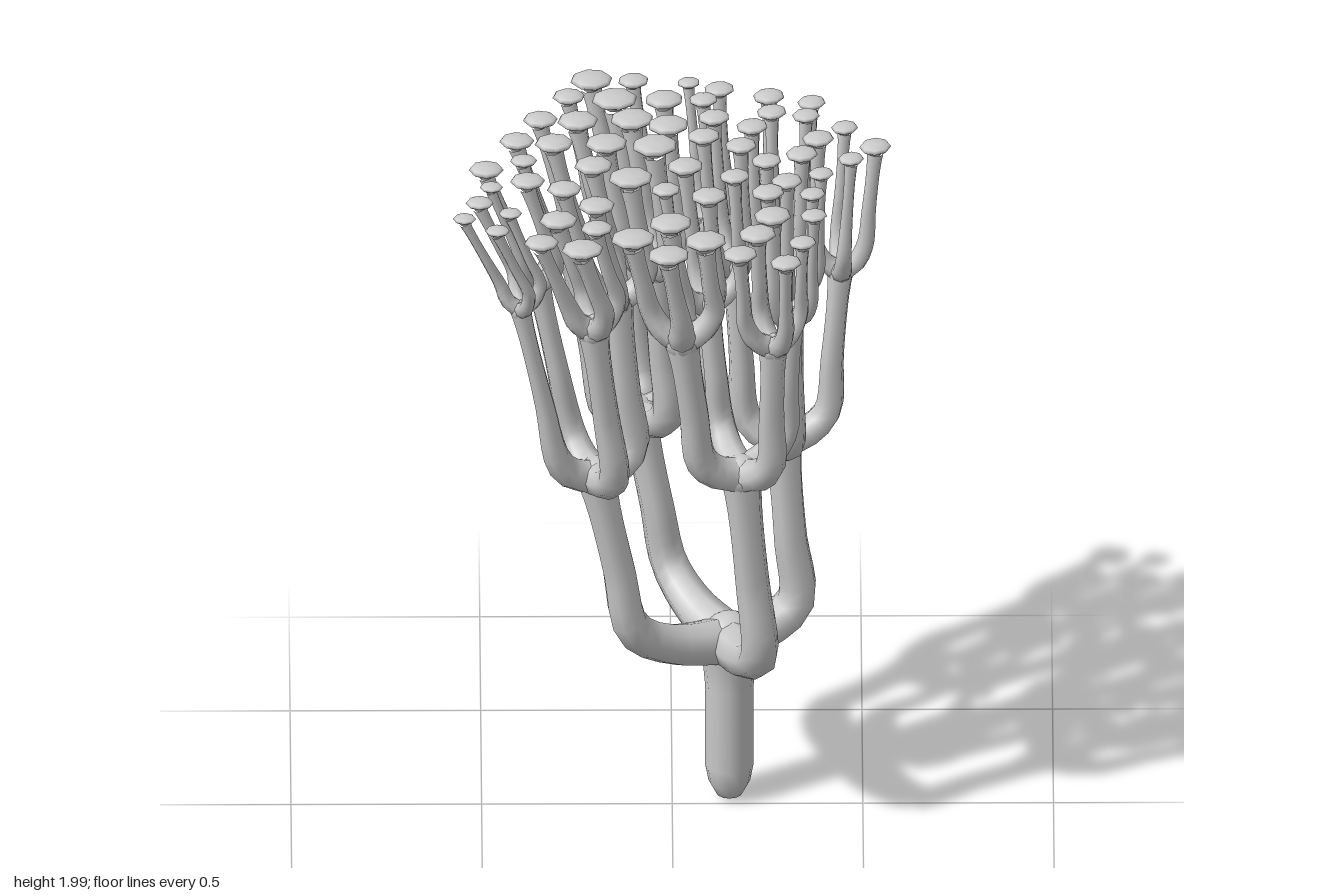
import * as THREE from 'three';

const material = new THREE.MeshStandardMaterial({ color: 0xcccccc });
const vec = (x, y, z) => new THREE.Vector3(x, y, z);

function add(parent, geometry, name) {
  const mesh = new THREE.Mesh(geometry, material);
  mesh.name = name;
  parent.add(mesh);
  return mesh;
}

// Smooth tube that narrows from r0 to r1 and swells a little into the next fork
function taperedTube(points, r0, r1, steps) {
  const curve = new THREE.CatmullRomCurve3(points, false, 'centripetal');
  const sides = 8;
  const geometry = new THREE.TubeGeometry(curve, steps, 1, sides, false);
  const pos = geometry.attributes.position;
  const v = new THREE.Vector3();
  for (let i = 0; i <= steps; i++) {
    const t = i / steps;
    const centre = curve.getPointAt(t);
    const r = r1 * (1 + 0.3 * Math.pow(t, 10)) + (r0 - r1) * Math.pow(1 - t, 2.5);
    for (let j = 0; j <= sides; j++) {
      const k = i * (sides + 1) + j;
      v.fromBufferAttribute(pos, k).sub(centre).multiplyScalar(r).add(centre);
      pos.setXYZ(k, v.x, v.y, v.z);
    }
  }
  return geometry;
}

// Branch that leaves a fork sideways, bends at an elbow, then rises,
// drifting sideways by lean on the way to its end
function branch(parent, from, to, lean, minRise, r0, r1, name) {
  const elbow = from.clone().lerp(to.clone().sub(lean), 0.87);
  const rise = minRise + 0.3 * Math.hypot(elbow.x - from.x, elbow.z - from.z);
  elbow.y = from.y + rise;
  const knee = from.clone().lerp(elbow, 0.6).setY(from.y + rise * 0.32);
  const upper = elbow.clone().lerp(to, 0.4);
  add(parent, taperedTube([from, knee, elbow, upper, to], r0, r1, 16), name);
}

function fork(parent, at, r, name) {
  const mesh = add(parent, new THREE.SphereGeometry(r, 12, 8), name);
  mesh.position.copy(at);
}

// Flat domed cap flaring out of its stalk, unit radius
const capProfile = [[0.36, -0.95], [0.45, -0.7], [0.85, -0.5], [1, -0.34], [0.88, -0.17], [0.5, -0.04], [0, 0]];
const capGeometry = new THREE.LatheGeometry(capProfile.map(([x, y]) => new THREE.Vector2(x, y)), 8);

const base = vec(0.15, 0.47, -0.04);

// Limb: main branch to a fork, then four boughs, each with four capped stalks.
// Every cluster lists x, z, radius of its four caps.
function limb(parent, node, name, clusters) {
  const group = new THREE.Group();
  group.name = name;
  branch(group, base, node, vec(-0.06, 0, 0), 0.03, 0.068, 0.043, 'mainBranch');
  fork(group, node, 0.056, 'mainFork');

  clusters.forEach((c) => {
    const mean = (k) => (c[k] + c[k + 3] + c[k + 6] + c[k + 9]) / 4;
    const cx = mean(0), cz = mean(1), r = mean(2) * 0.7;
    const lean = vec(-0.11 * (0.3 - cx), 0, 0.06 * (cz + 0.3));
    const tip = vec(cx, 1.56 + 0.1 * cz - 0.05 * cx, cz).sub(lean);
    branch(group, node, tip, lean, 0.035, 0.05, r, 'bough');
    fork(group, tip, r * 1.3, 'boughFork');

    for (let i = 0; i < 12; i += 3) {
      const [x, z, capR] = c.slice(i, i + 3);
      const top = 2 - 0.15 * Math.hypot(x, z);
      const end = vec(x, top - capR * 0.7, z);
      branch(group, tip, end, lean, 0.06, r * 1.1, capR * 0.39, 'stalk');
      const cap = add(group, capGeometry, 'cap');
      cap.position.set(x, top, z);
      cap.scale.set(capR * 1.02, Math.min(capR, 0.05) * 0.9, capR * 0.93);
      cap.rotation.y = Math.PI / 8 + x * 0.8;
    }
  });
  parent.add(group);
}

export function createModel() {
  const model = new THREE.Group();
  model.name = 'branchingCoral';

  // Trunk with a rounded foot
  const trunkProfile = [[0, 0], [0.035, 0.012], [0.055, 0.05], [0.064, 0.1], [0.064, 0.34], [0.07, 0.41], [0.08, 0.46]];
  const trunk = add(model, new THREE.LatheGeometry(trunkProfile.map(([x, y]) => new THREE.Vector2(x, y)), 12), 'trunk');
  trunk.position.set(base.x, 0, base.z);
  fork(model, base, 0.08, 'trunkFork');

  limb(model, vec(-0.09, 1.01, -0.29), 'backRightLimb', [
    [-0.21, -0.485, 0.055, -0.10, -0.46, 0.04, -0.27, -0.375, 0.042, -0.15, -0.34, 0.06],
    [-0.02, -0.325, 0.05, 0.045, -0.435, 0.03, 0.125, -0.40, 0.04, 0.083, -0.32, 0.038],
    [-0.345, -0.243, 0.045, -0.247, -0.213, 0.053, -0.407, -0.13, 0.045, -0.31, -0.093, 0.05],
    [-0.105, -0.194, 0.057, -0.01, -0.14, 0.054, -0.173, -0.055, 0.055, -0.046, -0.006, 0.06],
  ]);
  limb(model, vec(0.29, 1.03, -0.11), 'backLeftLimb', [
    [0.255, -0.37, 0.042, 0.367, -0.35, 0.038, 0.352, -0.262, 0.037, 0.262, -0.265, 0.04],
    [0.453, -0.213, 0.036, 0.533, -0.127, 0.043, 0.383, -0.133, 0.043, 0.469, -0.037, 0.035],
    [0.21, -0.16, 0.042, 0.11, -0.20, 0.042, 0.083, -0.068, 0.043, 0.18, -0.037, 0.042],
    [0.34, -0.034, 0.043, 0.247, 0.028, 0.04, 0.39, 0.062, 0.034, 0.30, 0.117, 0.042],
  ]);
  limb(model, vec(-0.2, 1.06, 0.13), 'frontRightLimb', [
    [-0.488, 0.006, 0.045, -0.39, -0.01, 0.035, -0.475, 0.108, 0.03, -0.38, 0.093, 0.045],
    [-0.207, 0.055, 0.05, -0.284, 0.154, 0.045, -0.11, 0.133, 0.058, -0.20, 0.244, 0.048],
    [-0.506, 0.176, 0.036, -0.546, 0.247, 0.03, -0.46, 0.321, 0.032, -0.426, 0.247, 0.03],
    [-0.30, 0.293, 0.05, -0.20, 0.346, 0.042, -0.345, 0.389, 0.045, -0.238, 0.43, 0.055],
  ]);
  limb(model, vec(0.18, 1.14, 0.265), 'frontLeftLimb', [
    [0.034, 0.093, 0.047, 0.163, 0.123, 0.04, -0.018, 0.197, 0.038, 0.095, 0.216, 0.047],
    [-0.006, 0.333, 0.056, -0.105, 0.395, 0.058, -0.012, 0.469, 0.055, 0.086, 0.407, 0.055],
    [0.25, 0.179, 0.044, 0.367, 0.167, 0.035, 0.262, 0.281, 0.05, 0.37, 0.268, 0.036],
    [0.222, 0.367, 0.05, 0.34, 0.395, 0.037, 0.176, 0.46, 0.046, 0.296, 0.488, 0.042],
  ]);

  return model;
}
